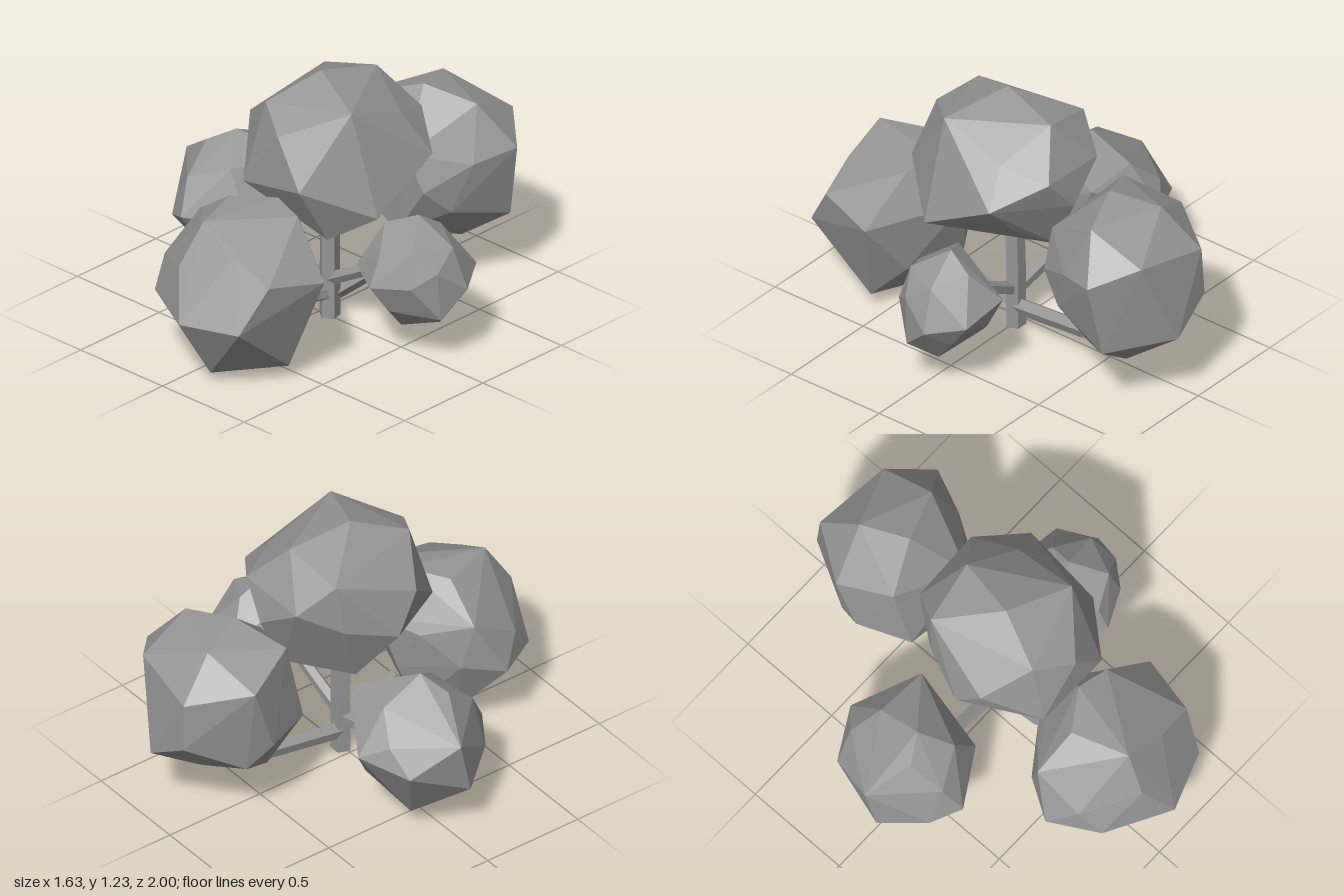
import * as THREE from 'three';
import { ConvexGeometry } from 'three/addons/geometries/ConvexGeometry.js';

const material = new THREE.MeshStandardMaterial({ color: 0x959595, flatShading: true });

// Faceted leaf clump: prominent corners wrapped in a convex hull, with evenly
// spread points of an ellipsoid filling the gaps between them.
function clump(name, centre, radii, corners) {
  const c = new THREE.Vector3(...centre);
  const r = new THREE.Vector3(...radii);
  const count = 24;
  let points = [];
  for (let i = 0; i < count; i++) {
    const y = 1 - (2 * (i + 0.5)) / count;
    const ring = Math.sqrt(1 - y * y);
    const a = i * Math.PI * (3 - Math.sqrt(5));
    points.push(new THREE.Vector3(ring * Math.cos(a), y, ring * Math.sin(a)));
  }
  const peaks = corners.map((p) => new THREE.Vector3(...p));
  for (const peak of peaks) {
    const dir = peak.clone().sub(c).divide(r).normalize();
    points = points.filter((p) => p.angleTo(dir) > 0.48);
  }
  const hull = points.map((p) => p.multiply(r).multiplyScalar(0.9).add(c)).concat(peaks);
  const mesh = new THREE.Mesh(new ConvexGeometry(hull), material);
  mesh.name = name;
  return mesh;
}

// Bent limb made of straight tapering prisms
function limb(name, path, thick, thin) {
  const group = new THREE.Group();
  group.name = name;
  const pts = path.map((p) => new THREE.Vector3(...p));
  const n = pts.length - 1;
  for (let i = 0; i < n; i++) {
    const dir = pts[i + 1].clone().sub(pts[i]);
    const r0 = THREE.MathUtils.lerp(thick, thin, i / n);
    const r1 = THREE.MathUtils.lerp(thick, thin, (i + 1) / n);
    const piece = new THREE.Mesh(new THREE.CylinderGeometry(r1, r0, dir.length(), 5), material);
    piece.name = name + 'Segment';
    piece.position.copy(pts[i]).addScaledVector(dir, 0.5);
    piece.quaternion.setFromUnitVectors(new THREE.Vector3(0, 1, 0), dir.normalize());
    group.add(piece);
  }
  return group;
}

export function createModel() {
  const bush = new THREE.Group();
  bush.name = 'bush';

  // Trunk and four side branches
  bush.add(
    limb('trunk', [[0.057, 0, -0.005], [0.057, 0.3, -0.005], [0.06, 0.58, 0]], 0.049, 0.046),
    limb('frontBranch', [[0.055, 0.11, 0], [0.06, 0.16, 0.22], [0.07, 0.25, 0.31]], 0.032, 0.03),
    limb('backBranch', [[0.055, 0.1, 0], [0.08, 0.15, -0.42], [0.1, 0.27, -0.62]], 0.04, 0.036),
    limb('leftBranch', [[0.055, 0.18, 0], [0.2, 0.26, -0.01], [0.4, 0.37, -0.02]], 0.032, 0.03),
    limb('rightBranch', [[0.055, 0.17, 0], [-0.23, 0.235, 0], [-0.36, 0.31, -0.01]], 0.032, 0.03),
  );

  // Leaf clumps
  bush.add(
    clump('topClump', [0.1, 0.87, 0], [0.39, 0.36, 0.4], [
      [0.05, 1.23, 0.04], [0.35, 1.16, 0.16], [0.11, 1.17, -0.25], [0.49, 0.88, -0.21],
      [0.5, 0.69, 0.15], [0.27, 0.83, 0.41], [-0.09, 0.76, 0.39], [-0.29, 0.79, 0.05],
      [0.13, 0.82, -0.4], [-0.26, 0.97, 0.17], [-0.05, 1.13, 0.29], [0.12, 1.05, 0.39],
      [-0.17, 1.1, -0.21], [-0.08, 0.96, -0.36], [0.27, 0.98, -0.37], [0.29, 0.55, 0.25],
      [-0.12, 0.53, -0.06], [0.12, 0.57, -0.29],
    ]),
    clump('frontClump', [0.085, 0.41, 0.61], [0.4, 0.36, 0.37], [
      [0.1, 0.34, 1], [-0.33, 0.36, 0.62], [0.5, 0.5, 0.49], [0.13, 0.05, 0.83],
      [0.36, 0.07, 0.57], [0.04, 0.75, 0.78], [0.37, 0.34, 0.9], [0.28, 0.73, 0.43],
      [0.13, 0.76, 0.4], [-0.05, 0.75, 0.52], [0.12, 0.56, 0.24], [-0.12, 0.09, 0.51],
      [0, 0.1, 0.36], [-0.2, 0.35, 0.84], [-0.25, 0.61, 0.5], [0.43, 0.55, 0.77],
    ]),
    clump('backClump', [0.12, 0.56, -0.66], [0.35, 0.38, 0.33], [
      [0.09, 0.95, -0.57], [0, 0.91, -0.79], [0.14, 0.37, -1], [0.17, 0.17, -0.73],
      [0.48, 0.7, -0.76], [-0.24, 0.78, -0.71], [0.13, 0.31, -0.36], [0.3, 0.78, -0.92],
      [0.41, 0.34, -0.79], [-0.09, 0.24, -0.53], [-0.13, 0.45, -0.36], [-0.14, 0.87, -0.46],
      [0.33, 0.9, -0.66], [-0.06, 0.73, -0.97], [-0.23, 0.45, -0.6], [0.21, 0.72, -0.34],
      [0.29, 0.55, -0.36], [-0.07, 0.5, -0.98], [-0.19, 0.35, -0.72],
    ]),
    clump('rightClump', [-0.52, 0.41, -0.02], [0.3, 0.32, 0.33], [
      [-0.5, 0.73, 0.01], [-0.82, 0.52, -0.01], [-0.54, 0.39, 0.32], [-0.6, 0.09, -0.12],
      [-0.25, 0.61, -0.19], [-0.53, 0.45, -0.36], [-0.81, 0.26, 0.05], [-0.67, 0.33, 0.24],
      [-0.4, 0.24, -0.22], [-0.75, 0.4, -0.24], [-0.26, 0.22, 0.02], [-0.28, 0.38, 0.16],
      [-0.4, 0.15, 0.08],
    ]),
    clump('leftClump', [0.57, 0.4, -0.03], [0.24, 0.26, 0.25], [
      [0.81, 0.36, -0.1], [0.56, 0.66, -0.05], [0.71, 0.4, -0.26], [0.52, 0.38, 0.22],
      [0.54, 0.14, 0.04], [0.74, 0.55, -0.08], [0.34, 0.4, 0.12], [0.42, 0.6, 0.02],
      [0.67, 0.16, -0.07], [0.77, 0.24, 0.03], [0.48, 0.45, -0.28], [0.69, 0.4, 0.14],
    ]),
  );
  return bush;
}
